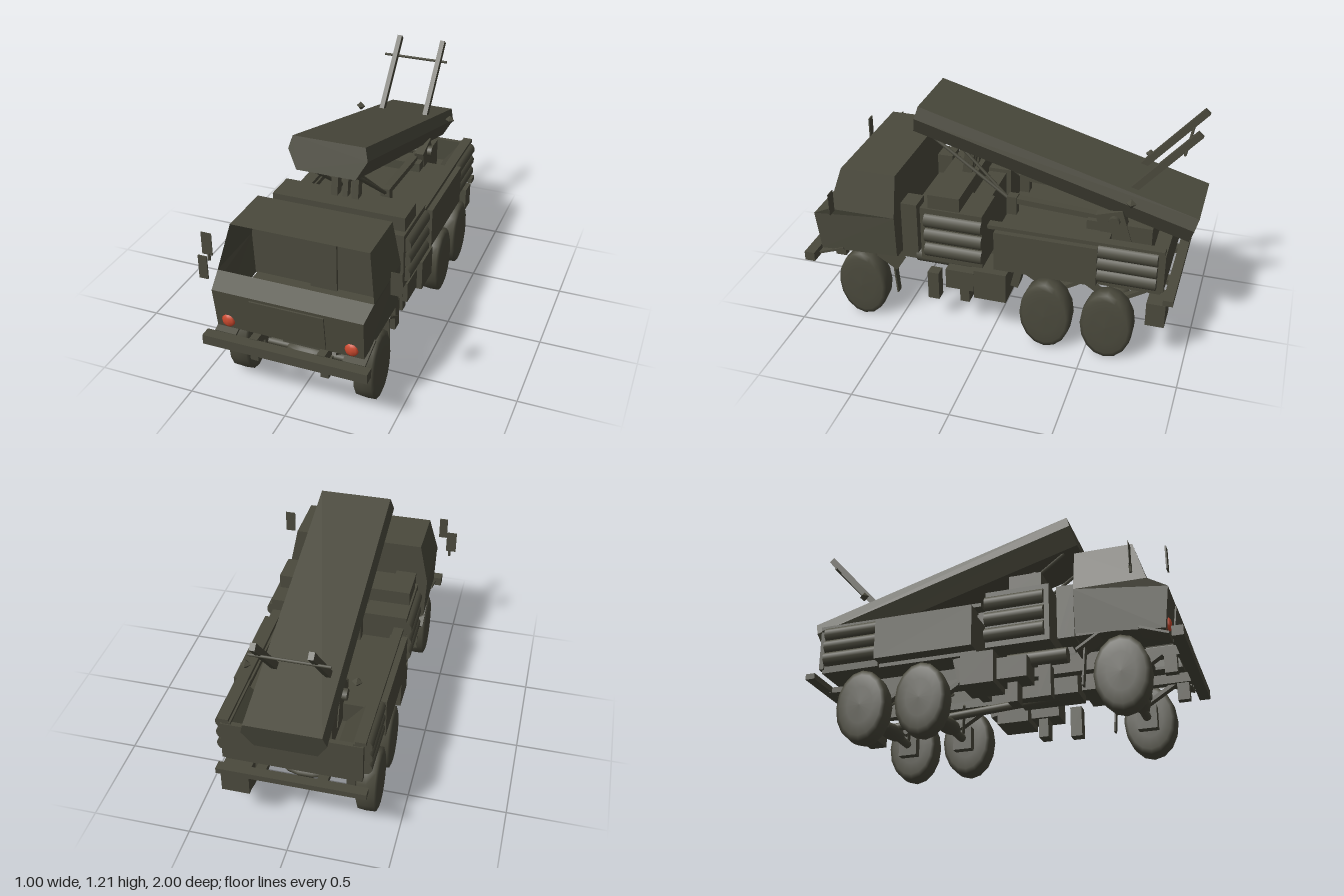
import * as THREE from 'three';

const olive = new THREE.MeshStandardMaterial({ color: 0x4a493c, side: THREE.DoubleSide });
olive.name = 'olive drab';
const lampRed = new THREE.MeshStandardMaterial({ color: 0xc8482d });
lampRed.name = 'lamp orange red';
const V = (x, y, z) => new THREE.Vector3(x, y, z);

function add(parent, name, geometry, material = olive) {
  const mesh = new THREE.Mesh(geometry, material);
  mesh.name = name;
  parent.add(mesh);
  return mesh;
}
// Box given by its limits on each axis
function box(parent, name, [x0, x1], [y0, y1], [z0, z1]) {
  const m = add(parent, name, new THREE.BoxGeometry(x1 - x0, y1 - y0, z1 - z0));
  m.position.set((x0 + x1) / 2, (y0 + y1) / 2, (z0 + z1) / 2);
  return m;
}
// The same box on both sides
function pair(parent, name, [x0, x1], y, z) {
  box(parent, name, [x0, x1], y, z);
  box(parent, name, [-x1, -x0], y, z);
}
// Square bar between two points
function beam(parent, name, a, b, w, h = w) {
  const m = add(parent, name, new THREE.BoxGeometry(w, h, a.distanceTo(b)));
  m.position.copy(a).add(b).multiplyScalar(0.5);
  m.lookAt(b);
  return m;
}
// Round bar between two points
function rod(parent, name, a, b, r, sides = 10) {
  const m = add(parent, name, new THREE.CylinderGeometry(r, r, a.distanceTo(b), sides));
  m.position.copy(a).add(b).multiplyScalar(0.5);
  m.quaternion.setFromUnitVectors(V(0, 1, 0), b.clone().sub(a).normalize());
  return m;
}
// Flat polygon panel
function panel(parent, name, pts) {
  const tris = [];
  for (let i = 1; i < pts.length - 1; i++) tris.push(pts[0], pts[i], pts[i + 1]);
  const g = new THREE.BufferGeometry().setFromPoints(tris);
  g.computeVertexNormals();
  return add(parent, name, g);
}

function buildCab() {
  const cab = new THREE.Group();
  cab.name = 'cab';
  // Side outline as half width, height, depth, from the front foot round to the rear foot
  const outline = [
    [0.37, 0.39, 0.915], [0.375, 0.6, 0.94], [0.39, 0.65, 0.845],
    [0.345, 0.87, 0.78], [0.345, 0.87, 0.49], [0.39, 0.65, 0.49], [0.38, 0.42, 0.49],
  ];
  const at = (i, s) => V(outline[i][0] * s, outline[i][1], outline[i][2]);
  for (const s of [1, -1]) {
    panel(cab, 'cabLowerSide', [5, 6, 0, 1, 2].map(i => at(i, s)));
    panel(cab, 'cabUpperSide', [2, 3, 4, 5].map(i => at(i, s)));
  }
  // Panels across the cab; the windscreen between points 2 and 3 stays open
  const names = { 0: 'frontPanel', 1: 'cowl', 3: 'roof', 4: 'upperBackWall', 5: 'lowerBackWall' };
  for (const i in names) {
    const k = Number(i);
    panel(cab, names[i], [at(k, 1), at(k + 1, 1), at(k + 1, -1), at(k, -1)]);
  }
  box(cab, 'floor', [-0.37, 0.37], [0.41, 0.425], [0.49, 0.77]);
  pair(cab, 'footwell', [0.145, 0.37], [0.41, 0.425], [0.77, 0.91]);
  box(cab, 'rearConsole', [-0.07, 0.07], [0.42, 0.71], [0.495, 0.51]);

  const grille = box(cab, 'grillePanel', [-0.185, 0.185], [0.4, 0.585], [0.927, 0.935]);
  grille.rotation.x = 0.118;
  for (const s of [1, -1]) {
    const lamp = add(cab, 'headlight', new THREE.SphereGeometry(0.035, 8, 6), lampRed);
    lamp.position.set(0.31 * s, 0.432, 0.919);
    lamp.scale.z = 0.5;
    const [a, b] = [0.445, 0.5].map(v => v * s).sort((p, q) => p - q);
    box(cab, 'sideMirror', [a, b], [0.68, 0.8], [0.785, 0.788]);
  }
  rod(cab, 'mirrorStub', V(-0.465, 0.65, 0.786), V(-0.465, 0.69, 0.786), 0.008, 5);
  box(cab, 'kerbMirror', [-0.425, -0.38], [0.665, 0.785], [0.945, 0.952]);
  return cab;
}

function buildChassis() {
  const chassis = new THREE.Group();
  chassis.name = 'chassis';
  pair(chassis, 'frameRail', [0.12, 0.17], [0.32, 0.42], [-0.74, 0.6]);
  pair(chassis, 'frontRail', [0.15, 0.19], [0.33, 0.38], [0.6, 0.95]);
  for (const z of [-0.72, -0.45, -0.12, 0.2, 0.5])
    box(chassis, 'crossMember', [-0.13, 0.13], [0.34, 0.4], [z - 0.025, z + 0.025]);
  box(chassis, 'frontBumper', [-0.41, 0.415], [0.325, 0.375], [0.945, 1]);
  pair(chassis, 'towBracket', [0.16, 0.2], [0.24, 0.33], [0.87, 0.93]);
  box(chassis, 'engineSump', [-0.115, 0.115], [0.24, 0.38], [0.45, 0.75]);
  box(chassis, 'gearbox', [-0.08, 0.08], [0.25, 0.36], [0.1, 0.42]);
  rod(chassis, 'driveShaft', V(0, 0.27, 0.3), V(0, 0.21, -0.6), 0.022);

  for (const s of [1, -1]) {
    // Mudguards around the front wheels
    beam(chassis, 'frontMudguard', V(0.325 * s, 0.36, 0.93), V(0.325 * s, 0.41, 0.79), 0.11, 0.012);
    beam(chassis, 'rearMudguard', V(0.325 * s, 0.41, 0.6), V(0.325 * s, 0.34, 0.49), 0.11, 0.012);
    beam(chassis, 'mudFlap', V(0.33 * s, 0.36, 0.525), V(0.33 * s, 0.17, 0.51), 0.04, 0.008);
    // Equipment hung below the frame
    rod(chassis, 'airTank', V(0.25 * s, 0.375, 0.42), V(0.25 * s, 0.375, 0.12), 0.04);
    beam(chassis, 'sideStep', V(0.29 * s, 0.23, 0.35), V(0.29 * s, 0.23, 0.29), 0.06, 0.16);
    beam(chassis, 'batteryBox', V(0.28 * s, 0.31, 0.24), V(0.28 * s, 0.31, 0.09), 0.13, 0.11);
    beam(chassis, 'filterBox', V(0.26 * s, 0.2, 0.18), V(0.26 * s, 0.2, 0.13), 0.08, 0.1);
    beam(chassis, 'fuelTank', V(0.28 * s, 0.32, 0.08), V(0.28 * s, 0.32, -0.09), 0.18, 0.165);
    beam(chassis, 'bracket', V(0.25 * s, 0.42, -0.14), V(0.25 * s, 0.29, -0.11), 0.08, 0.04);
    beam(chassis, 'tailBracket', V(0.15 * s, 0.385, -0.72), V(0.15 * s, 0.395, -0.92), 0.05, 0.03);
  }
  box(chassis, 'tailBox', [0.21, 0.35], [0.24, 0.37], [-0.895, -0.8]);
  box(chassis, 'rearBumper', [-0.37, 0.36], [0.38, 0.41], [-0.93, -0.88]);

  // Axles and tall wheels with gently domed faces
  const tread = [[0, -0.058], [0.1, -0.056], [0.16, -0.052], [0.185, -0.044], [0.19, 0],
    [0.187, 0.044], [0.16, 0.054], [0.1, 0.057], [0, 0.06]];
  const wheelShape = new THREE.LatheGeometry(tread.map(p => new THREE.Vector2(...p)), 16);
  wheelShape.rotateZ(-Math.PI / 2).scale(1, 1, 0.71);
  for (const z of [0.7, -0.295, -0.61]) {
    rod(chassis, 'axle', V(-0.28, 0.19, z), V(0.28, 0.19, z), 0.022);
    const diff = add(chassis, 'differential', new THREE.SphereGeometry(0.07, 10, 8));
    diff.position.set(0, 0.19, z);
    diff.scale.set(1.8, 0.5, 0.8);
    for (const s of [1, -1]) {
      const wheel = add(chassis, 'wheel', wheelShape);
      wheel.position.set(0.325 * s, 0.2, z);
      wheel.rotation.y = s > 0 ? 0 : Math.PI;
      beam(chassis, 'hubCarrier', V(0.235 * s, 0.19, z + 0.05), V(0.235 * s, 0.19, z - 0.05), 0.045, 0.12);
      rod(chassis, 'suspensionLink', V(0.08 * s, 0.32, z + 0.06), V(0.23 * s, 0.2, z), 0.008, 6);
      beam(chassis, 'leafSpringFront', V(0.19 * s, 0.34, z + 0.16), V(0.19 * s, 0.24, z), 0.04, 0.02);
      beam(chassis, 'leafSpringRear', V(0.19 * s, 0.34, z - 0.16), V(0.19 * s, 0.24, z), 0.04, 0.02);
    }
  }
  return chassis;
}

function buildBody() {
  const body = new THREE.Group();
  body.name = 'body';
  // Stowage between the cab and the bed
  pair(body, 'intakeHousing', [0.22, 0.33], [0.43, 0.71], [0.39, 0.475]);
  box(body, 'cabRearFrame', [-0.33, 0.33], [0.44, 0.6], [0.43, 0.47]);
  pair(body, 'stowageBox', [0.14, 0.36], [0.42, 0.72], [0.035, 0.36]);
  box(body, 'centreBox', [-0.14, 0.14], [0.42, 0.7], [0.06, 0.32]);
  box(body, 'crossLocker', [-0.35, 0.35], [0.7, 0.795], [0.155, 0.32]);
  for (const s of [1, -1])
    for (let i = 0; i < 3; i++) {
      const y = 0.485 + i * 0.085;
      rod(body, 'frontStowedTube', V(0.35 * s, y, 0.035), V(0.35 * s, y, 0.335), 0.04);
      rod(body, 'rearStowedTube', V(0.34 * s, 0.49 + i * 0.068, -0.55), V(0.34 * s, 0.49 + i * 0.068, -0.84), 0.037);
    }
  // Raised front deck with an open rear well
  box(body, 'bedFloor', [-0.33, 0.33], [0.42, 0.52], [-0.86, -0.55]);
  box(body, 'bedDeck', [-0.31, 0.31], [0.42, 0.63], [-0.58, -0.03]);
  pair(body, 'bedLocker', [0.29, 0.38], [0.44, 0.655], [-0.55, -0.03]);
  pair(body, 'bedRearWall', [0.29, 0.33], [0.44, 0.66], [-0.87, -0.55]);
  pair(body, 'bedRim', [0.3, 0.35], [0.655, 0.675], [-0.87, 0.01]);
  box(body, 'tailboard', [-0.34, 0.34], [0.44, 0.65], [-0.875, -0.85]);
  for (const s of [1, -1])
    panel(body, 'innerSlope', [V(0.3 * s, 0.66, -0.58), V(0.3 * s, 0.66, -0.85), V(0.19 * s, 0.52, -0.85), V(0.19 * s, 0.52, -0.58)]);
  return body;
}

function buildLauncher() {
  const launcher = new THREE.Group();
  launcher.name = 'launcher';
  // Raised six-sided pod
  const half = [[0.183, 0.08], [0.2, 0.015], [0.15, -0.08]];
  const section = [...half, ...half.map(([x, y]) => [-x, y]).reverse()];
  const podShape = new THREE.Shape(section.map(p => new THREE.Vector2(...p)));
  const pod = add(launcher, 'launchPod',
    new THREE.ExtrudeGeometry(podShape, { depth: 1.47, bevelEnabled: false }).translate(0, 0, -0.74));
  pod.position.set(0, 0.91, -0.265);
  pod.rotation.x = -0.277;

  // Loading rails standing on the pod
  for (const x of [-0.13, 0.125])
    beam(launcher, 'loadingRail', V(x, 0.84, -0.64), V(x, 1.205, -0.96), 0.026, 0.035);
  rod(launcher, 'railCrossbar', V(-0.2, 1.11, -0.9), V(0.17, 1.11, -0.9), 0.007, 6);

  // Supports, struts, sights and pivot
  for (const s of [1, -1]) {
    const sight = add(launcher, 'sideSight', new THREE.OctahedronGeometry(0.026));
    sight.position.set(0.265 * s, 0.865, -0.68);
    beam(launcher, 'frontPost', V(0.055 * s, 0.76, 0.21), V(0.055 * s, 0.99, 0.18), 0.035, 0.05);
    rod(launcher, 'liftStrut', V(0.12 * s, 1.01, 0.38), V(0.12 * s, 0.71, -0.03), 0.01, 6);
    rod(launcher, 'innerStrut', V(0.08 * s, 0.93, 0.22), V(0.12 * s, 0.71, -0.03), 0.008, 6);
    beam(launcher, 'baseArm', V(0.12 * s, 0.71, -0.03), V(0.12 * s, 0.68, -0.58), 0.04, 0.03);
    beam(launcher, 'armFoot', V(0.12 * s, 0.6, -0.055), V(0.12 * s, 0.73, -0.055), 0.05, 0.05);
    beam(launcher, 'pivotBracket', V(0.15 * s, 0.55, -0.62), V(0.15 * s, 0.74, -0.56), 0.05, 0.14);
  }
  beam(launcher, 'centrePost', V(0, 0.76, 0.21), V(0, 0.96, 0.18), 0.028, 0.04);
  box(launcher, 'turntable', [-0.17, 0.17], [0.52, 0.68], [-0.78, -0.45]);
  rod(launcher, 'pivotShaft', V(-0.2, 0.7, -0.59), V(0.2, 0.7, -0.59), 0.03);
  return launcher;
}

export function createModel() {
  const truck = new THREE.Group();
  truck.name = 'rocketTruck';
  truck.add(buildCab(), buildChassis(), buildBody(), buildLauncher());
  return truck;
}
